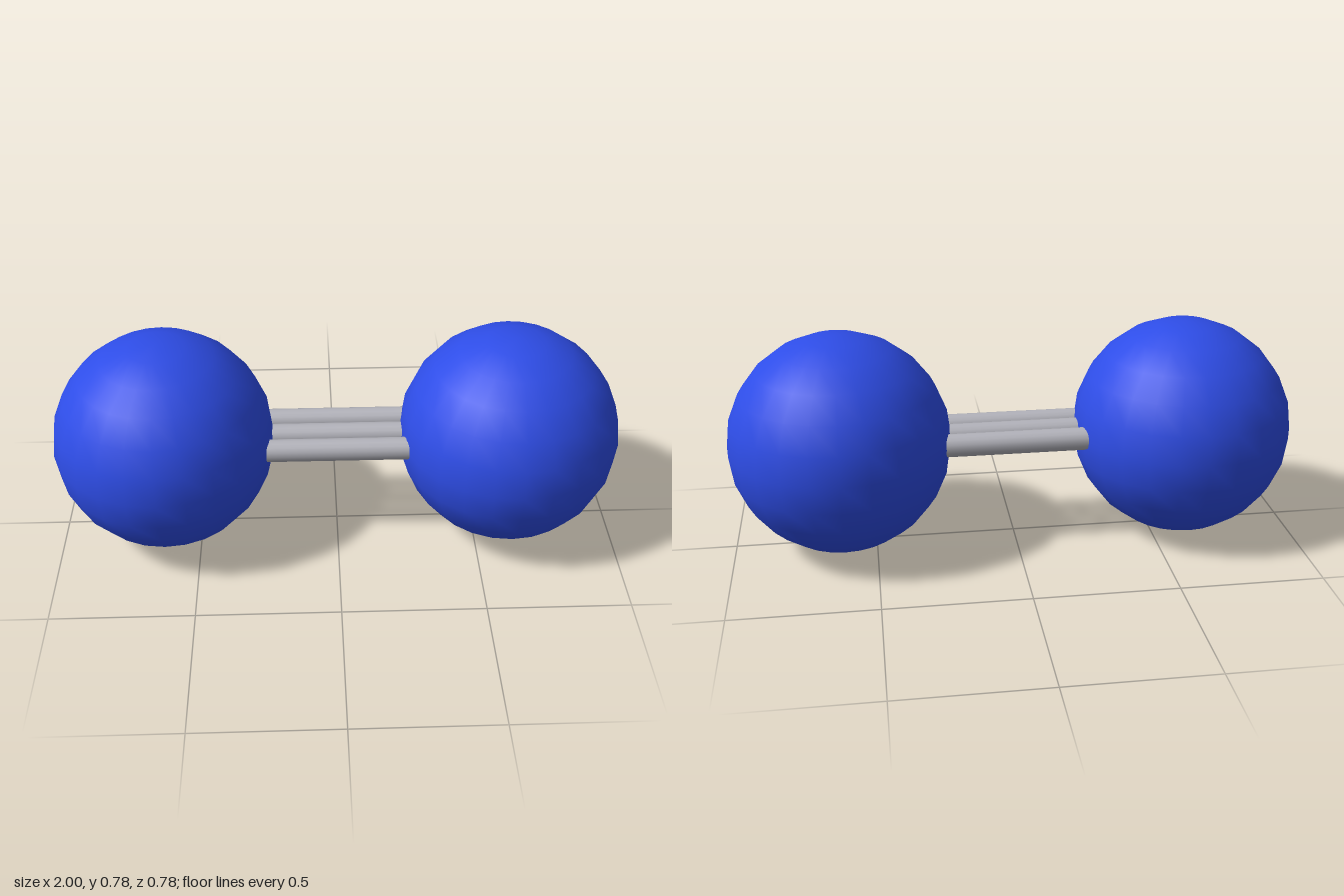
import * as THREE from 'three';

export function createModel() {
  const model = new THREE.Group();
  model.name = 'tripleBondMolecule';

  const blue = new THREE.MeshStandardMaterial({ color: 0x3050f0 });
  blue.name = 'atom blue';
  const grey = new THREE.MeshStandardMaterial({ color: 0xb4b4bc });
  grey.name = 'bond grey';

  const radius = 0.389, centreX = 0.611, centreY = 0.389;

  // Two atoms, mirrored across x
  const atomGeometry = new THREE.SphereGeometry(radius, 24, 12);
  for (const [name, side] of [['leftAtom', 1], ['rightAtom', -1]]) {
    const atom = new THREE.Mesh(atomGeometry, blue);
    atom.name = name;
    atom.position.set(side * centreX, centreY, 0);
    model.add(atom);
  }

  // Three parallel bond rods, ending inside the atoms
  const rodGeometry = new THREE.CylinderGeometry(0.04, 0.04, 2 * centreX, 16);
  rodGeometry.rotateZ(Math.PI / 2);
  ['backBond', 'middleBond', 'frontBond'].forEach((name, i) => {
    const rod = new THREE.Mesh(rodGeometry, grey);
    rod.name = name;
    rod.position.set(0, centreY, (i - 1) * 0.092);
    model.add(rod);
  });

  return model;
}
